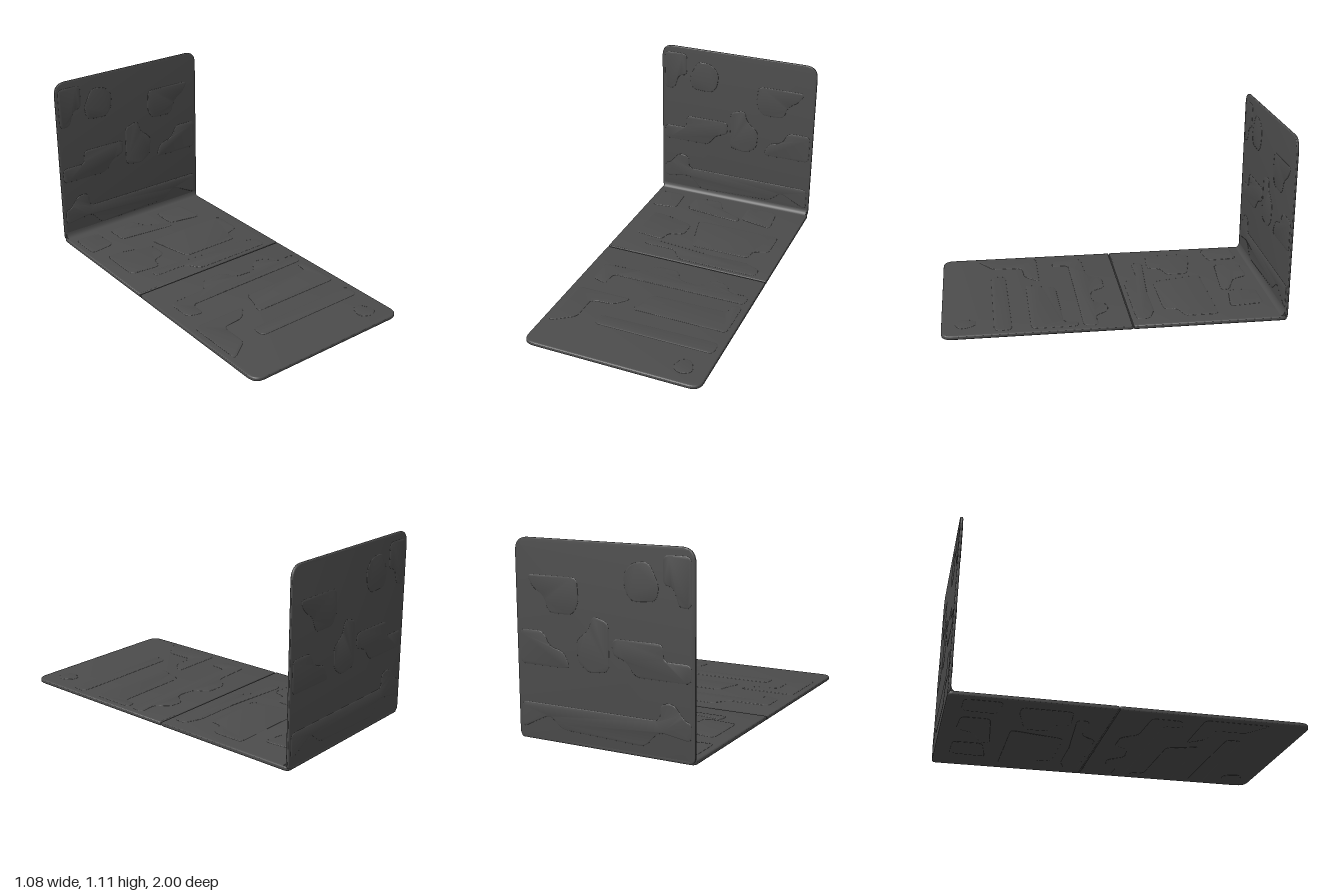
import * as THREE from 'three';
import { toCreasedNormals } from 'three/addons/utils/BufferGeometryUtils.js';

const material = new THREE.MeshStandardMaterial({ color: 0x4c4c4c });

// Closed outline from points [x, y, cornerRadius]
function outline(points, defaultRadius) {
  const shape = new THREE.Shape();
  const n = points.length;
  points.forEach((p, i) => {
    const corner = new THREE.Vector2(p[0], p[1]);
    const toward = (q) => {
      const d = new THREE.Vector2(q[0], q[1]).sub(corner);
      const r = Math.min(p[2] ?? defaultRadius, d.length() * 0.45);
      return d.setLength(r).add(corner);
    };
    const a = toward(points[(i + n - 1) % n]);
    const b = toward(points[(i + 1) % n]);
    if (i === 0) shape.moveTo(a.x, a.y);
    else shape.lineTo(a.x, a.y);
    shape.quadraticCurveTo(corner.x, corner.y, b.x, b.y);
  });
  shape.closePath();
  return shape;
}

// Thin slab with softened rim, spanning 0..thickness in z
function slab(name, points, thickness, bevel) {
  const geo = new THREE.ExtrudeGeometry(outline(points, 0.02), {
    depth: thickness - 2 * bevel, bevelThickness: bevel, bevelSize: bevel,
    bevelOffset: -bevel, bevelSegments: 3, curveSegments: 8,
  });
  geo.translate(0, 0, bevel);
  const mesh = new THREE.Mesh(toCreasedNormals(geo, 0.7), material);
  mesh.name = name;
  return mesh;
}

// Very shallow raised plates, softly stepped above and below the slab
function relief(name, plates, low, high) {
  const group = new THREE.Group();
  group.name = name;
  plates.forEach((points) => {
    const geo = new THREE.ExtrudeGeometry(outline(points, 0.035), {
      depth: high - low - 0.006, bevelThickness: 0.003, bevelSize: 0.008,
      bevelOffset: -0.008, bevelSegments: 3, curveSegments: 5,
    });
    geo.translate(0, 0, low + 0.003);
    const mesh = new THREE.Mesh(toCreasedNormals(geo, 0.7), material);
    mesh.name = 'raisedPlate';
    group.add(mesh);
  });
  return group;
}

// Raised plates of the upright panel, as x, y
const uprightPlates = [
  [[-0.34, 0.9], [-0.32, 0.82], [-0.18, 0.81], [-0.14, 0.86], [-0.13, 0.95], [-0.18, 1.01], [-0.28, 1.02]],
  [[-0.52, 0.8], [-0.45, 0.8], [-0.42, 0.9], [-0.36, 0.91], [-0.36, 1.06], [-0.52, 1.06]],
  [[0.15, 0.91], [0.14, 0.78], [0.18, 0.71], [0.33, 0.71], [0.36, 0.8], [0.43, 0.84], [0.47, 0.91]],
  [[-0.04, 0.43], [0.08, 0.41], [0.15, 0.46], [0.16, 0.58], [0.08, 0.64], [0.06, 0.72], [-0.04, 0.69]],
  [[-0.52, 0.52], [-0.36, 0.52], [-0.36, 0.61], [-0.06, 0.61], [-0.06, 0.52], [-0.14, 0.5], [-0.2, 0.42], [-0.52, 0.42]],
  [[0.24, 0.51], [0.33, 0.53], [0.37, 0.61], [0.52, 0.61], [0.52, 0.42], [0.2, 0.42]],
  [[-0.52, 0.22], [-0.48, 0.23], [-0.42, 0.31], [-0.34, 0.3], [-0.34, 0.21], [0.52, 0.21], [0.52, 0.06],
    [0.34, 0.15], [0.26, 0.08], [-0.25, 0.06], [-0.33, 0.15], [-0.52, 0.12]],
];

// Raised plates of the base panels, as x, -z
const rearPlates = [
  [[-0.5, 0.91], [-0.34, 0.91], [-0.33, 0.72], [-0.5, 0.7]],
  [[-0.25, 0.74], [-0.25, 0.9], [-0.06, 0.91], [-0.02, 0.81], [0.13, 0.75], [0.13, 0.7]],
  [[0.14, 0.74], [0.14, 0.91], [0.34, 0.91], [0.36, 0.7]],
  [[-0.45, 0.6], [-0.37, 0.6], [-0.14, 0.54], [-0.14, 0.41], [-0.24, 0.38], [-0.25, 0.3], [-0.45, 0.32]],
  [[-0.11, 0.61], [0.45, 0.61], [0.45, 0.41], [0.35, 0.38], [0.35, 0.3], [-0.04, 0.3]],
  [[-0.34, 0.21], [-0.12, 0.21], [-0.06, 0.12], [0.46, 0.12], [0.46, 0.2], [0.36, 0.24], [0.1, 0.24], [-0.34, 0.28]],
];
const frontPlates = [
  [[-0.46, -0.11], [-0.2, -0.1], [-0.14, -0.01], [0, -0.01], [0.05, -0.1], [0.18, -0.11], [0.24, -0.02],
    [0.33, -0.03], [0.38, -0.11], [0.5, -0.1], [0.5, -0.19], [-0.36, -0.2], [-0.36, -0.31], [-0.46, -0.28]],
  [[-0.04, -0.31], [0.44, -0.3], [0.44, -0.22], [0.5, -0.22], [0.5, -0.49], [-0.1, -0.49], [-0.06, -0.4]],
  [[-0.5, -0.4], [-0.14, -0.4], [-0.22, -0.49], [-0.36, -0.5], [-0.36, -0.68], [-0.5, -0.78]],
  [[-0.24, -0.61], [0.36, -0.6], [0.5, -0.6], [0.5, -0.7], [-0.24, -0.7]],
  [[0.33, -0.89], [0.36, -0.8], [0.42, -0.8], [0.46, -0.89], [0.4, -0.93]],
];

export function createModel() {
  const model = new THREE.Group();
  model.name = 'foldingPanels';

  // Flat base, two leaves either side of a crease
  const base = new THREE.Group();
  base.name = 'base';
  base.rotation.x = -Math.PI / 2;
  base.position.y = 0.003;
  const front = slab('frontLeaf',
    [[-0.54, -1, 0.07], [0.54, -1, 0.07], [0.54, 0.087, 0.006], [-0.54, 0.087, 0.006]], 0.024, 0.007);
  const rear = slab('rearLeaf',
    [[-0.54, 0.093, 0.006], [0.54, 0.093, 0.006], [0.54, 0.998, 0.03], [-0.54, 0.998, 0.03]], 0.025, 0.007);
  const hinge = new THREE.Mesh(new THREE.BoxGeometry(1.07, 0.05, 0.013), material);
  hinge.name = 'creaseStrip';
  hinge.position.set(0, 0.09, 0.01);
  base.add(front, rear, hinge,
    relief('frontRelief', frontPlates, -0.003, 0.0265),
    relief('rearRelief', rearPlates, -0.003, 0.0275));

  // Upright panel
  const upright = new THREE.Group();
  upright.name = 'uprightPanel';
  upright.position.z = -0.998;
  upright.add(
    slab('panel', [[-0.54, 0.006, 0.04], [0.54, 0.006, 0.04], [0.54, 1.105, 0.08], [-0.54, 1.105, 0.08]], 0.016, 0.006),
    relief('panelRelief', uprightPlates, -0.002, 0.0185));

  // Inside fillet where the upright meets the base
  const profile = new THREE.Shape();
  profile.moveTo(0, 0);
  profile.lineTo(0.03, 0);
  profile.quadraticCurveTo(0.002, 0.002, 0, 0.045);
  profile.closePath();
  const filletGeo = new THREE.ExtrudeGeometry(profile, { depth: 1.06, bevelEnabled: false, curveSegments: 6 });
  filletGeo.translate(0, 0, -0.53).rotateY(-Math.PI / 2);
  const fillet = new THREE.Mesh(toCreasedNormals(filletGeo, 0.6), material);
  fillet.name = 'cornerFillet';
  fillet.position.set(0, 0.027, -0.983);

  model.add(base, upright, fillet);
  return model;
}
